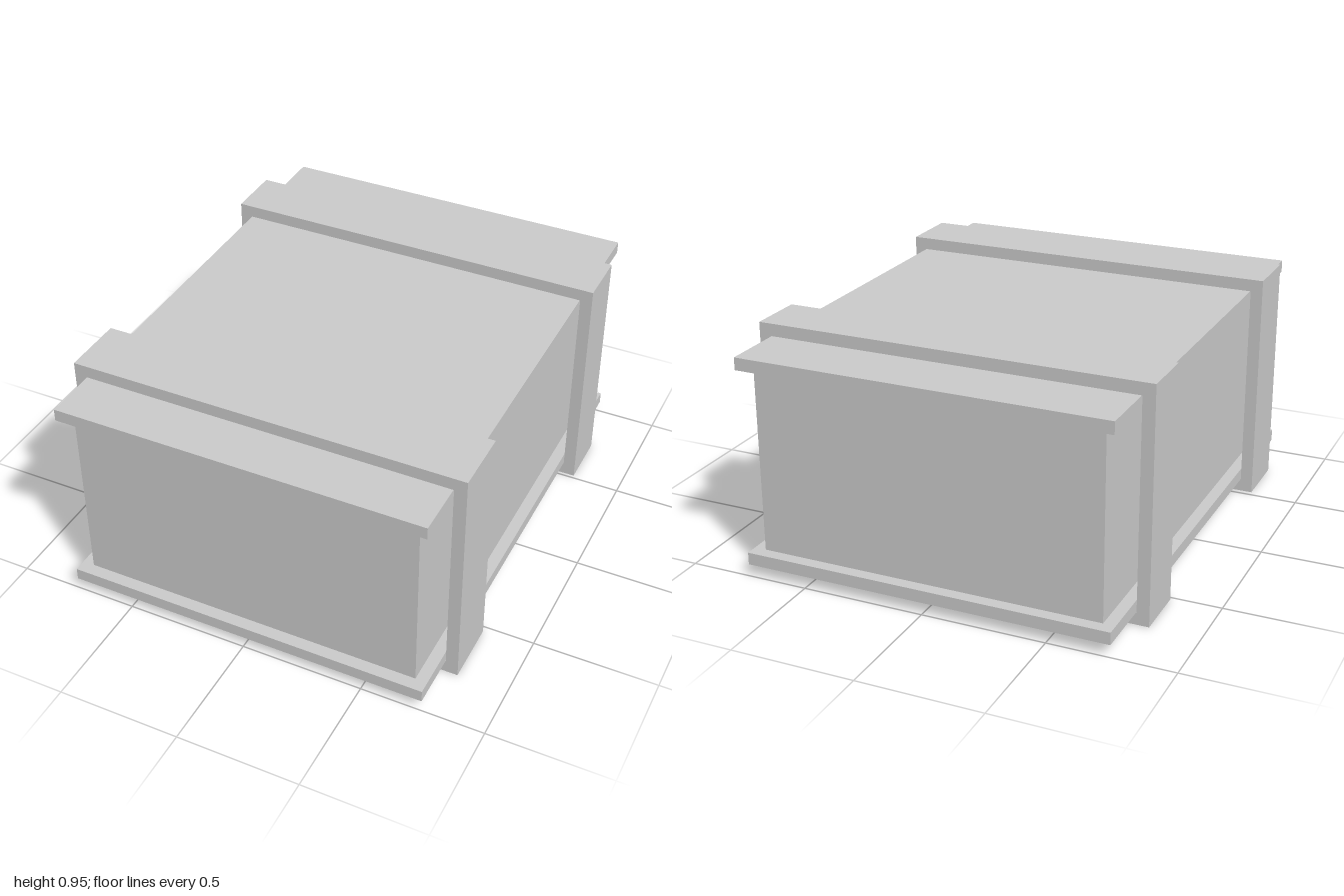
import * as THREE from 'three';

export function createModel() {
  const model = new THREE.Group();
  const material = new THREE.MeshStandardMaterial({ color: 0xcccccc, flatShading: true });

  function add(name, geometry, y, z) {
    const mesh = new THREE.Mesh(geometry, material);
    mesh.name = name;
    mesh.position.set(0, y, z);
    model.add(mesh);
  }

  // Crate body between two overhanging panels
  add('body', new THREE.BoxGeometry(1.4, 0.75, 1.9), 0.475, 0);
  const panel = new THREE.BoxGeometry(1.496, 0.05, 2);
  add('bottomPanel', panel, 0.075, 0);
  add('lid', panel, 0.875, 0);

  // Rectangular straps wrapping the crate, standing clear of the body sides
  function strap(name, zBack, zFront) {
    const ring = new THREE.Shape([
      new THREE.Vector2(-0.8, 0), new THREE.Vector2(0.8, 0),
      new THREE.Vector2(0.8, 0.95), new THREE.Vector2(-0.8, 0.95),
    ]);
    ring.holes.push(new THREE.Path([
      new THREE.Vector2(-0.75, 0.05), new THREE.Vector2(-0.75, 0.9),
      new THREE.Vector2(0.75, 0.9), new THREE.Vector2(0.75, 0.05),
    ]));
    const geometry = new THREE.ExtrudeGeometry(ring, { depth: zFront - zBack, bevelEnabled: false });
    add(name, geometry, 0, zBack);
  }
  strap('frontStrap', 0.525, 0.78);
  strap('backStrap', -0.745, -0.515);

  return model;
}
